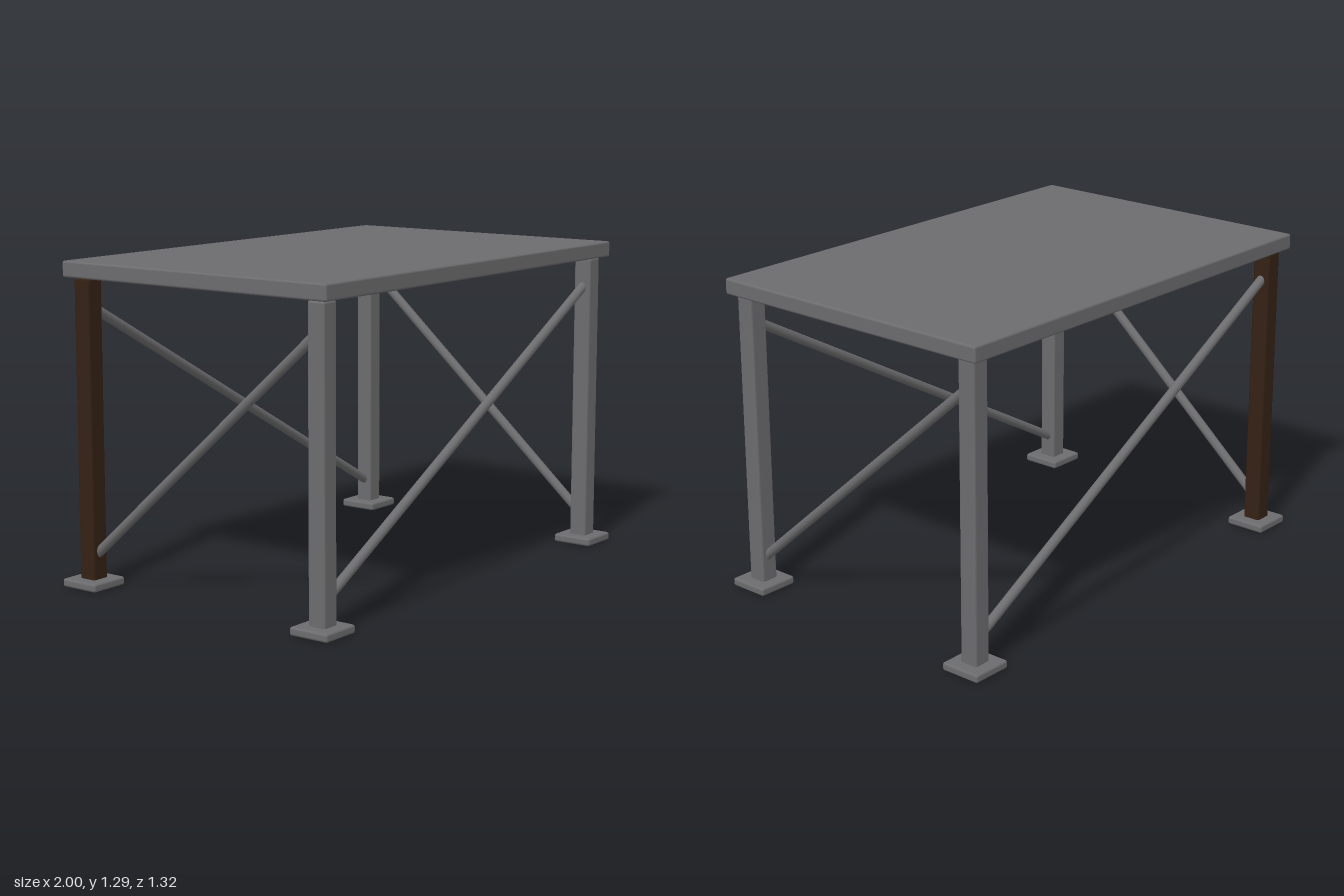
import * as THREE from 'three';
import { RoundedBoxGeometry } from 'three/addons/geometries/RoundedBoxGeometry.js';

const LEG_X = 0.912, LEG_Z = 0.574;      // leg centre lines
const BRACE_LOW = 0.114, BRACE_HIGH = 1.124;

export function createModel() {
  const table = new THREE.Group();
  table.name = 'table';
  const steel = new THREE.MeshStandardMaterial({ color: 0x6c6c6e });
  steel.name = 'grey steel';
  const brown = new THREE.MeshStandardMaterial({ color: 0x342114 });
  brown.name = 'dark brown';

  // Box with softened edges, placed by its bottom height
  function block(name, size, x, bottom, z, radius, material) {
    const mesh = new THREE.Mesh(new RoundedBoxGeometry(...size, 2, radius), material);
    mesh.position.set(x, bottom + size[1] / 2, z);
    mesh.name = name;
    table.add(mesh);
  }

  // Round bar between two points
  function brace(name, from, to) {
    const a = new THREE.Vector3(...from), b = new THREE.Vector3(...to);
    const dir = b.clone().sub(a);
    const mesh = new THREE.Mesh(new THREE.CylinderGeometry(0.0195, 0.0195, dir.length(), 16), steel);
    mesh.position.copy(a).add(b).multiplyScalar(0.5);
    mesh.quaternion.setFromUnitVectors(new THREE.Vector3(0, 1, 0), dir.normalize());
    mesh.name = name;
    table.add(mesh);
  }

  // Table top
  block('tableTop', [1.96, 0.065, 1.29], 0, 1.23, 0, 0.009, steel);

  // Legs and foot plates; the back leg on the -x side is brown
  for (const sx of [-1, 1]) {
    for (const sz of [-1, 1]) {
      const place = (sz > 0 ? 'front' : 'back') + (sx > 0 ? 'Left' : 'Right');
      const material = sx < 0 && sz < 0 ? brown : steel;
      block(place + 'Leg', [0.077, 1.217, 0.077], sx * LEG_X, 0.01, sz * LEG_Z, 0.01, material);
      block(place + 'Foot', [0.174, 0.034, 0.174], sx * 0.913, 0, sz * LEG_Z, 0.01, steel);
    }
  }

  // One diagonal per side, alternating around the frame
  for (const s of [-1, 1]) {
    brace(s > 0 ? 'frontBrace' : 'backBrace',
      [-s * LEG_X, BRACE_LOW, s * LEG_Z], [s * LEG_X, BRACE_HIGH, s * LEG_Z]);
    brace(s > 0 ? 'leftBrace' : 'rightBrace',
      [s * LEG_X, BRACE_LOW, s * LEG_Z], [s * LEG_X, BRACE_HIGH, -s * LEG_Z]);
  }
  return table;
}
